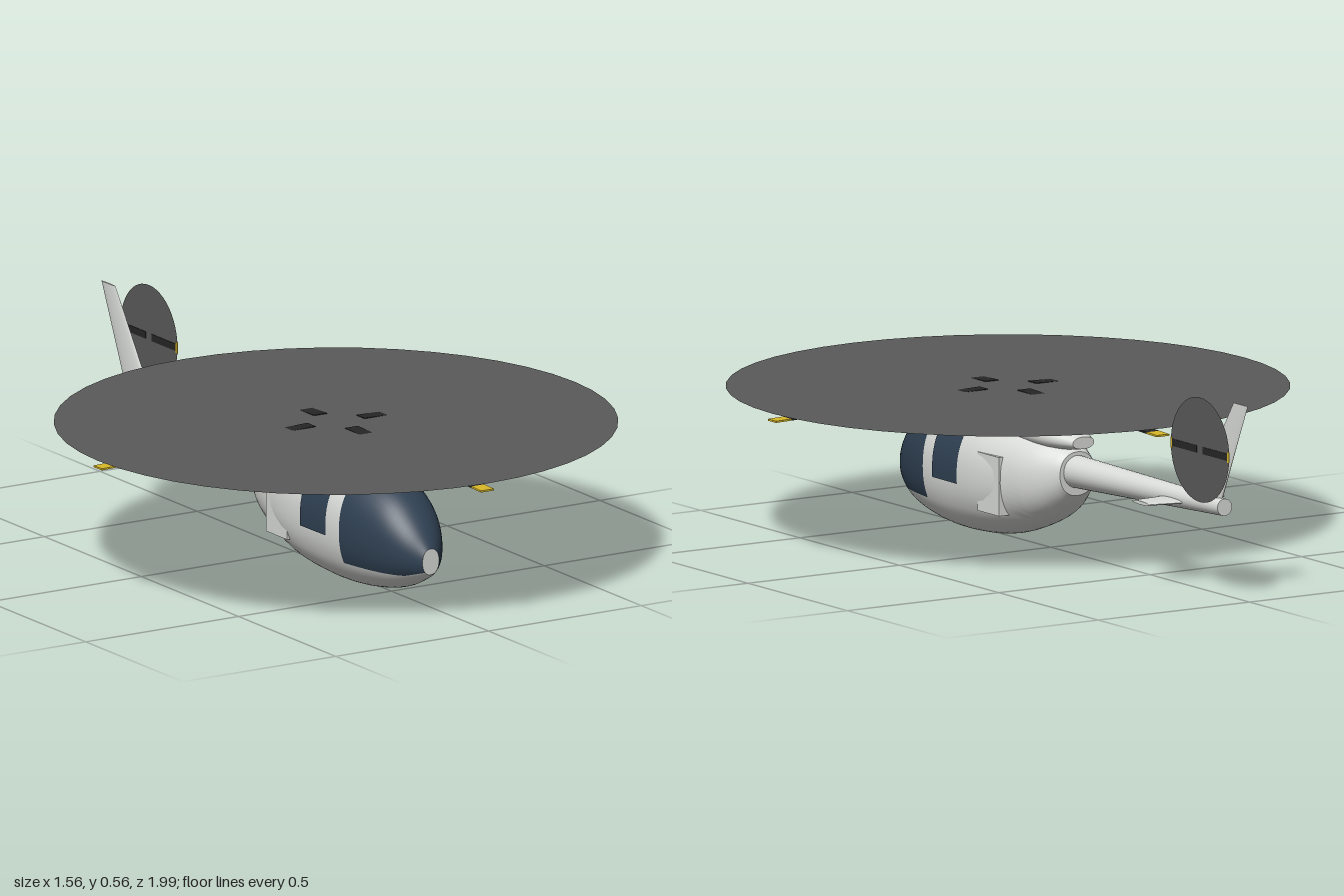
import * as THREE from 'three';

const mat = (name, color, side = THREE.FrontSide) => {
  const m = new THREE.MeshStandardMaterial({ color, side });
  m.name = name;
  return m;
};

const lerp = THREE.MathUtils.lerp;
const POWER = 2.2; // roundness of the hull cross-sections
const STEPS = 4;   // smooth rows between two key sections

// Key sections, front to back: z, bottom, top, half width
const HULL = [
  [0.703, 0.092, 0.166, 0.027], [0.65, 0.062, 0.235, 0.072], [0.57, 0.027, 0.302, 0.108],
  [0.44, 0.004, 0.345, 0.134], [0.30, 0, 0.351, 0.14], [0.14, 0.018, 0.347, 0.138],
  [-0.02, 0.075, 0.325, 0.112], [-0.10, 0.128, 0.302, 0.078], [-0.135, 0.165, 0.288, 0.058],
];
const COWL = [
  [0.40, 0.325, 0.342, 0.025], [0.30, 0.295, 0.36, 0.06], [0.17, 0.283, 0.374, 0.08],
  [-0.02, 0.283, 0.37, 0.078], [-0.10, 0.29, 0.35, 0.058], [-0.165, 0.30, 0.334, 0.035],
];

// Smooth rows through the key sections
function rows(keys) {
  const a = new THREE.CatmullRomCurve3(keys.map(k => new THREE.Vector3(k[0], k[1], k[2])), false, 'catmullrom', 0.5);
  const b = new THREE.CatmullRomCurve3(keys.map(k => new THREE.Vector3(k[0], k[3], 0)), false, 'catmullrom', 0.5);
  const n = (keys.length - 1) * STEPS;
  return Array.from({ length: n + 1 }, (_, i) => {
    const p = a.getPoint(i / n), q = b.getPoint(i / n);
    return { z: p.x, mid: (p.y + p.z) / 2, h: (p.z - p.y) / 2, w: q.y };
  });
}

const bend = v => Math.sign(v) * Math.abs(v) ** (2 / POWER);

// Closed skin over the rows; the first glassRows rows are material 1 above the sill line
function skin(list, glassRows = 0) {
  const UP = 32, LOW = 24, N = UP + LOW;
  const pos = [], body = [], glass = [];
  const ring = r => {
    const sill = THREE.MathUtils.clamp((Math.max(0.083, 0.1 - (0.703 - r.z) * 0.3) - r.mid) / r.h, -0.95, 0);
    const t0 = -Math.asin(Math.abs(sill) ** (POWER / 2));
    for (let j = 0; j < N; j++) {
      const t = j < UP ? lerp(t0, Math.PI - t0, j / UP) : lerp(Math.PI - t0, 2 * Math.PI + t0, (j - UP) / LOW);
      pos.push(bend(Math.cos(t)) * r.w, r.mid + bend(Math.sin(t)) * r.h, r.z);
    }
  };
  list.forEach(ring);
  for (let i = 0; i < list.length - 1; i++) {
    for (let j = 0; j < N; j++) {
      const k = (j + 1) % N, a = i * N + j, b = i * N + k;
      (i < glassRows && j < UP ? glass : body).push(a, a + N, b, b, a + N, b + N);
    }
  }
  // End caps
  [list[0], list[list.length - 1]].forEach((r, end) => {
    const s = pos.length / 3;
    ring(r);
    pos.push(0, r.mid, r.z);
    for (let j = 0; j < N; j++) {
      const k = (j + 1) % N;
      body.push(s + N, s + (end ? k : j), s + (end ? j : k));
    }
  });
  const g = new THREE.BufferGeometry();
  g.setAttribute('position', new THREE.Float32BufferAttribute(pos, 3));
  g.setIndex([...body, ...glass]);
  g.addGroup(0, body.length, 0);
  g.addGroup(body.length, glass.length, 1);
  g.computeVertexNormals();
  return g;
}

// Half width of the hull at a height and station
function hullX(list, y, z) {
  let i = 0;
  while (i < list.length - 2 && list[i + 1].z > z) i++;
  const a = list[i], b = list[i + 1], f = (a.z - z) / (a.z - b.z);
  const v = Math.min(1, Math.abs(y - lerp(a.mid, b.mid, f)) / lerp(a.h, b.h, f));
  return lerp(a.w, b.w, f) * (1 - v ** POWER) ** (1 / POWER);
}

// Tapered lens-section surface along +y; root and tip: [span, front z, rear z, thickness]
function foil(root, tip) {
  const g = new THREE.CylinderGeometry(1, 1, 1, 20);
  const p = g.attributes.position;
  for (let i = 0; i < p.count; i++) {
    const [s, lead, trail, thick] = [0, 1, 2, 3].map(k => lerp(root[k], tip[k], p.getY(i) + 0.5));
    p.setXYZ(i, p.getX(i) * thick / 2, s, (lead + trail) / 2 + p.getZ(i) * (lead - trail) / 2);
  }
  g.computeVertexNormals();
  return g;
}

export function createModel() {
  const white = mat('white paint', 0xd9dbd8);
  const glass = mat('dark blue glass', 0x2f4052, THREE.DoubleSide);
  const black = mat('blade black', 0x262626);
  const yellow = mat('tip yellow', 0xd8b828);
  const blur = mat('rotor disc grey', 0x5a5a5a, THREE.DoubleSide);

  const model = new THREE.Group();
  model.name = 'helicopter';
  const add = (name, geo, material, parent = model) => {
    const m = new THREE.Mesh(geo, material);
    m.name = name;
    parent.add(m);
    return m;
  };

  // Fuselage with windscreen, and engine cowling
  const hull = rows(HULL);
  add('fuselage', skin(hull, 3 * STEPS), [white, glass]);
  add('engineCowling', skin(rows(COWL)), [white, white]);

  // Side windows following the hull, and door panels
  for (const s of [1, -1]) {
    const side = s > 0 ? 'left' : 'right';
    const win = new THREE.PlaneGeometry(1, 1, 8, 10);
    const p = win.attributes.position;
    for (let i = 0; i < p.count; i++) {
      const z = lerp(0.382, 0.255, p.getX(i) + 0.5);
      const y = lerp(0.152, 0.283, p.getY(i) + 0.5);
      p.setXYZ(i, s * (hullX(hull, y, z) + 0.003), y, z);
    }
    // keep the faces pointing outward on the mirrored side
    if (s < 0) win.setIndex(Array.from(win.index.array).reverse());
    win.computeVertexNormals();
    add(side + 'Window', win, glass);

    const door = add(side + 'Door', new THREE.BoxGeometry(0.04, 0.165, 0.11), white);
    door.position.set(s * 0.111, 0.172, 0.115);
  }

  // Tail boom
  const boom = new THREE.CylinderGeometry(0.024, 0.047, 0.785, 28);
  boom.rotateX(-Math.PI / 2);
  const boomMesh = add('tailBoom', boom, white);
  boomMesh.position.set(0, 0.2385, -0.4825);
  boomMesh.rotation.x = 0.018;

  // Fin and stabilizers
  add('tailFin', foil([0.25, -0.72, -0.855, 0.022], [0.547, -0.92, -0.992, 0.006]), white);
  for (const s of [1, -1]) {
    const wing = add(s > 0 ? 'leftStabilizer' : 'rightStabilizer',
      foil([0, -0.59, -0.71, 0.016], [0.125, -0.6, -0.685, 0.01]), white);
    wing.rotation.z = -s * Math.PI / 2;
    wing.position.y = 0.235;
  }

  // A rotor lies in its own xz plane: blur disc plus blades with painted tips
  function rotor(name, { radius, inner, tip, chord, tipChord, thick, blades, rise, droop }) {
    const g = new THREE.Group();
    g.name = name;
    const disc = add(name + 'Disc', new THREE.CircleGeometry(radius, 48), blur, g);
    disc.rotation.x = -Math.PI / 2;
    for (let i = 0; i < blades; i++) {
      const arm = new THREE.Group();
      arm.name = name + 'Blade';
      arm.rotation.set(0, i * 2 * Math.PI / blades, -droop, 'YXZ');
      arm.position.y = rise;
      const len = radius - tip - inner;
      add('blade', new THREE.BoxGeometry(len, thick, chord), black, arm).position.x = inner + len / 2;
      add('bladeTip', new THREE.BoxGeometry(tip, thick, tipChord), yellow, arm).position.x = radius - tip / 2;
      g.add(arm);
    }
    model.add(g);
    return g;
  }

  const main = rotor('mainRotor', {
    radius: 0.78, inner: 0.08, tip: 0.05, chord: 0.042, tipChord: 0.042,
    thick: 0.005, blades: 4, rise: 0.002, droop: 0.029,
  });
  main.position.set(0, 0.42, 0.215);

  const tail = rotor('tailRotor', {
    radius: 0.147, inner: 0.015, tip: 0.009, chord: 0.02, tipChord: 0.03,
    thick: 0.003, blades: 2, rise: 0, droop: 0,
  });
  tail.rotation.set(0, Math.PI / 2, -Math.PI / 2, 'ZYX');
  tail.position.set(0.065, 0.41, -0.85);

  return model;
}
